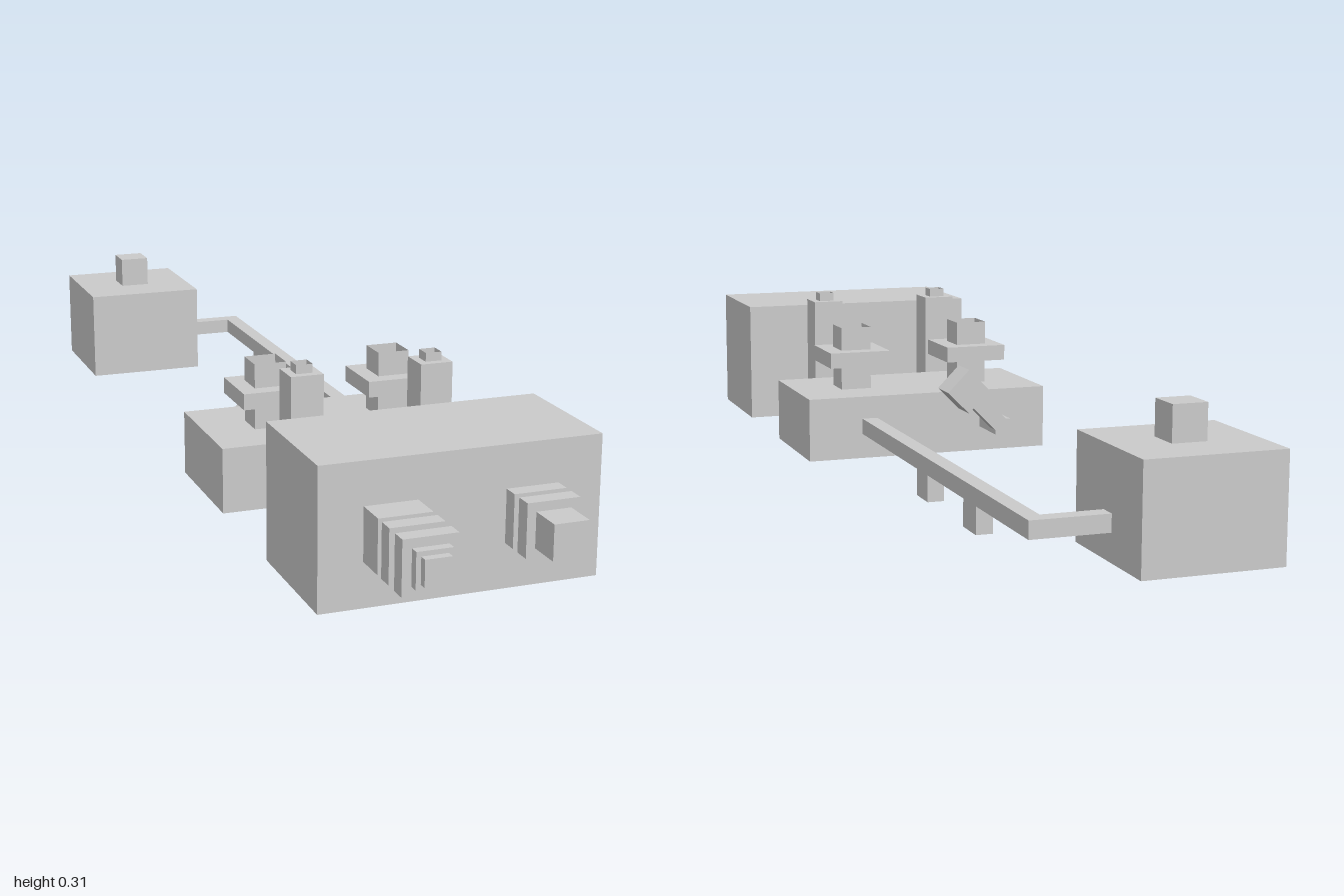
import * as THREE from 'three';

export function createModel() {
  const model = new THREE.Group();
  const solid = new THREE.MeshStandardMaterial({ color: 0xcccccc, flatShading: true });
  const thin = new THREE.MeshStandardMaterial({ color: 0xcccccc, flatShading: true, side: THREE.DoubleSide });

  const X = 0.129; // offset of the two pipe lines
  const PIPE_Y = 0.067;
  const PIPE = 0.032;

  // Box given by its extents along each axis
  function box(name, [x0, x1], [y0, y1], [z0, z1], parent = model) {
    const mesh = new THREE.Mesh(new THREE.BoxGeometry(x1 - x0, y1 - y0, z1 - z0), solid);
    mesh.position.set((x0 + x1) / 2, (y0 + y1) / 2, (z0 + z1) / 2);
    mesh.name = name;
    parent.add(mesh);
    return mesh;
  }
  const around = (c, size) => [c - size / 2, c + size / 2];

  // Square sleeve of thin walls, open at both ends
  function sleeve(name, x, [y0, y1], z, size) {
    const geo = new THREE.CylinderGeometry(size / Math.SQRT2, size / Math.SQRT2, y1 - y0, 4, 1, true);
    geo.rotateY(Math.PI / 4);
    const mesh = new THREE.Mesh(geo, thin);
    mesh.position.set(x, (y0 + y1) / 2, z);
    mesh.name = name;
    model.add(mesh);
  }

  // Main housings
  box('frontHousing', [-0.258, 0.258], [0, 0.258], [0.548, 0.806]);
  box('middleHousing', [-0.258, 0.258], [0, 0.129], [0.032, 0.29]);
  box('rearHousing', [-0.258, 0], [0, 0.195], [-1, -0.742]);
  box('rearChimney', around(-X, 0.064), [0.195, 0.26], around(-0.871, 0.064));

  // Pipes
  const pipeY = around(PIPE_Y, PIPE);
  box('longPipe', around(X, PIPE), pipeY, [-0.887, 0.032]);
  box('pipeElbow', [0, X - PIPE / 2], pipeY, around(-0.871, PIPE));
  box('drainPipe', around(-X, PIPE), pipeY, [-0.064, 0.032]);

  // Pipe supports
  for (const z of [-0.355, -0.613]) {
    box('pipeSupport', around(X, PIPE), [0, 0.051], around(z, 0.064));
  }

  // Paired parts on both pipe lines
  for (const x of [-X, X]) {
    box('linkPipe', around(x, PIPE), pipeY, [0.29, 0.548]);

    // Upright post on the link pipe
    box('postNeck', around(x, PIPE), [0.083, 0.1], around(0.371, PIPE));
    box('post', around(x, 0.064), [0.1, 0.29], around(0.371, 0.064));
    sleeve('postCap', x, [0.29, 0.307], 0.371, PIPE);

    // Flanged port on the middle housing
    box('portStem', around(x, 0.064), [0.129, 0.18], around(0.161, 0.064));
    box('portFlange', around(x, 0.129), [0.18, 0.212], around(0.161, 0.129));
    sleeve('portMouth', x, [0.212, 0.26], 0.161, 0.064);
  }

  // Stepped nozzles: [size, z start, z end]
  const nozzles = [
    [-X, [[0.097, 0.806, 0.868], [0.068, 0.868, 0.884], [0.097, 0.884, 0.915], [0.068, 0.915, 0.938],
      [0.097, 0.938, 0.968], [0.064, 0.968, 0.985], [0.047, 0.985, 1]]],
    [X, [[0.097, 0.806, 0.836], [0.064, 0.836, 0.853], [0.097, 0.853, 0.884], [0.064, 0.884, 0.948]]],
  ];
  for (const [x, steps] of nozzles) {
    const nozzle = new THREE.Group();
    nozzle.name = 'nozzle';
    for (const [size, z0, z1] of steps) {
      box('nozzleStep', around(x, size), around(0.131, size), [z0, z1], nozzle);
    }
    model.add(nozzle);
  }

  // Tilted valve rising from the drain pipe
  const valve = new THREE.Group();
  valve.name = 'tiltedValve';
  valve.position.set(-X, PIPE_Y, -0.048);
  valve.rotation.z = -Math.PI / 4;
  box('valveNeck', around(0, PIPE), [0, 0.082], around(0, PIPE), valve);
  box('valveHead', around(0, 0.064), [0.081, 0.145], around(0, 0.064), valve);
  model.add(valve);

  return model;
}
